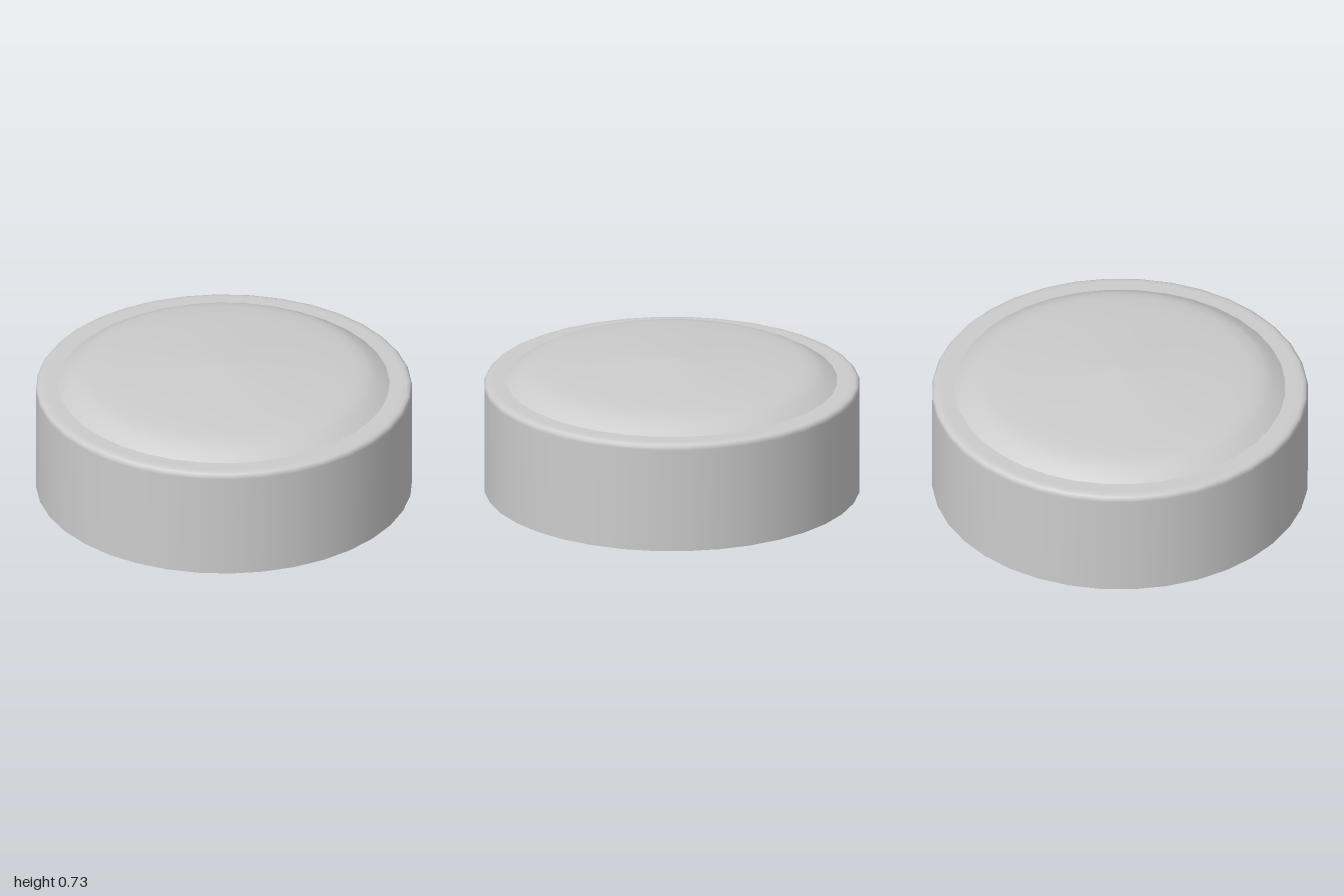
import * as THREE from 'three';

const SIDES = 36;
const TURN = THREE.MathUtils.degToRad(2);

// Revolves a [radius, height] profile into a thin open shell
function shell(name, profile) {
  const points = profile.map(([r, y]) => new THREE.Vector2(r, y));
  const material = new THREE.MeshStandardMaterial({ color: 0xcccccc, side: THREE.DoubleSide });
  const mesh = new THREE.Mesh(new THREE.LatheGeometry(points, SIDES, TURN), material);
  mesh.name = name;
  return mesh;
}

export function createModel() {
  const group = new THREE.Group();
  group.name = 'lid';

  // Straight skirt, open at the bottom, with a small rounded shoulder and a flat rim
  group.add(shell('skirtAndRim', [
    [1, 0], [1, 0.57], [0.998, 0.585], [0.99, 0.596], [0.975, 0.602], [0.95, 0.603], [0.88, 0.603],
  ]));

  // Shallow dome with a rounded edge rising from the rim
  group.add(shell('domedTop', [
    [0.88, 0.603], [0.85, 0.623], [0.81, 0.646], [0.77, 0.664], [0.71, 0.676],
    [0.6, 0.688], [0.45, 0.699], [0.25, 0.712], [0.08, 0.722], [0, 0.725],
  ]));

  return group;
}
